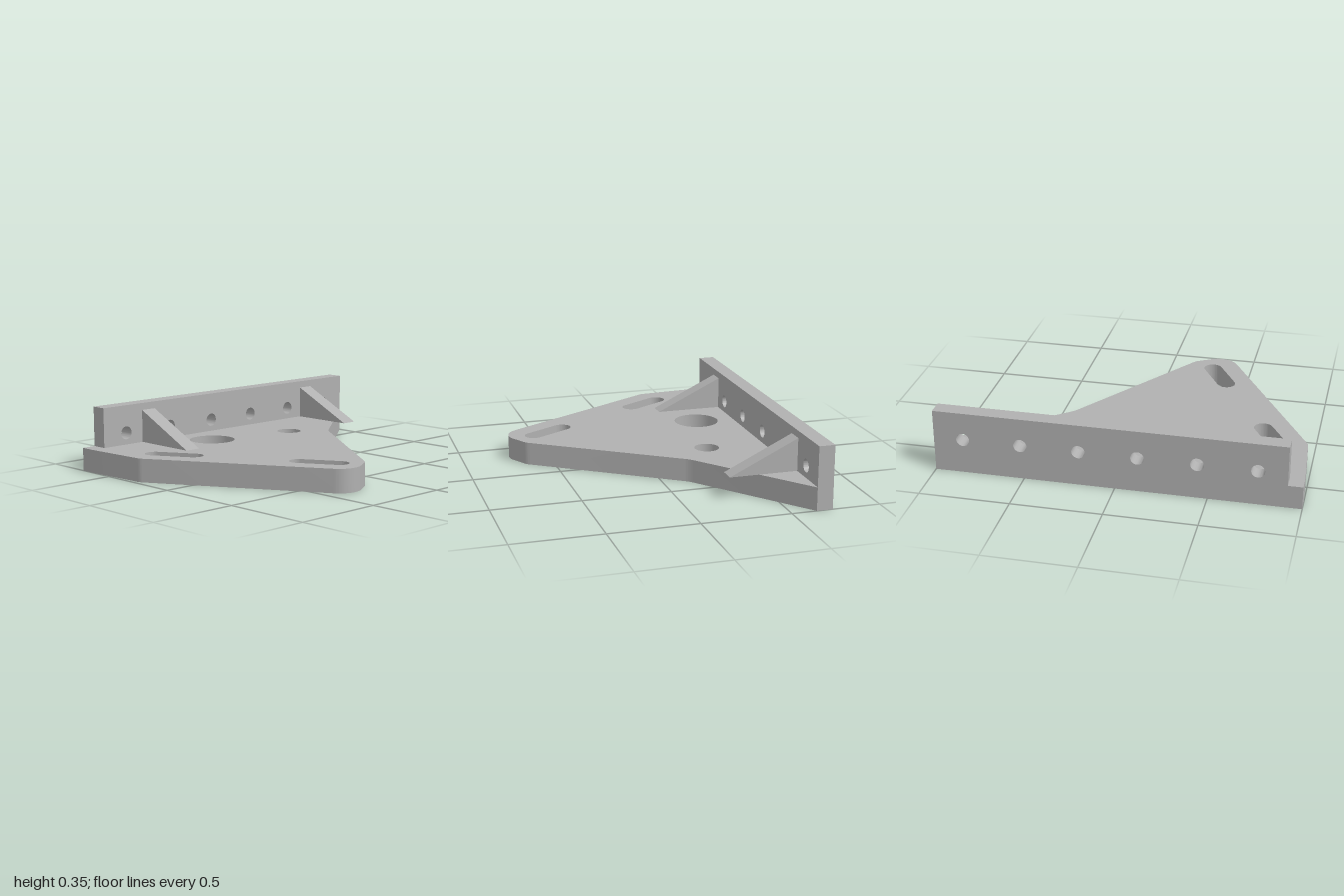
import * as THREE from 'three';
import { toCreasedNormals } from 'three/addons/utils/BufferGeometryUtils.js';

const PLATE_H = 0.13, BACK = -0.73, RAIL_FRONT = -0.64, RAIL_TOP = 0.355;

function circleHole(x, y, r) {
  const path = new THREE.Path();
  path.absarc(x, y, r, 0, Math.PI * 2, true);
  return path;
}

// Rounded slot between two end centres
function slotHole(x1, y1, x2, y2, r) {
  const a = Math.atan2(y2 - y1, x2 - x1), q = Math.PI / 2;
  const path = new THREE.Path();
  path.absarc(x1, y1, r, a + q, a + 3 * q, false);
  path.absarc(x2, y2, r, a - q, a + q, false);
  path.closePath();
  return path;
}

function extrude(shape, depth) {
  return new THREE.ExtrudeGeometry(shape, { depth, bevelEnabled: false, curveSegments: 20 });
}

export function createModel() {
  const group = new THREE.Group();
  const metal = new THREE.MeshStandardMaterial({ color: 0xb0b0b0 });
  metal.name = 'grey metal';

  const add = (name, geometry) => {
    const mesh = new THREE.Mesh(toCreasedNormals(geometry, 0.5), metal);
    mesh.name = name;
    group.add(mesh);
  };

  // Base plate, drawn with shape y = -z
  const plate = new THREE.Shape();
  plate.moveTo(-1, -BACK);
  plate.lineTo(-1, -RAIL_FRONT);
  plate.lineTo(-0.975, 0.275);
  plate.quadraticCurveTo(-0.973, 0.26, -0.965, 0.246);
  plate.absarc(-0.335, -0.61, 0.118, Math.PI * 7 / 6, Math.PI * 5 / 3, false);
  plate.lineTo(-0.205, -0.672);
  plate.quadraticCurveTo(-0.182, -0.66, -0.168, -0.637);
  plate.lineTo(0.355, 0.12);
  plate.quadraticCurveTo(0.37, 0.143, 0.395, 0.163);
  plate.lineTo(1, -RAIL_FRONT);
  plate.lineTo(1, -BACK);
  plate.closePath();
  plate.holes.push(
    circleHole(-0.315, 0.415, 0.13),
    circleHole(0.2, 0.305, 0.07),
    slotHole(-0.825, 0.315, -0.71, 0.12, 0.053),
    slotHole(-0.416, -0.394, -0.305, -0.585, 0.053)
  );
  add('basePlate', extrude(plate, PLATE_H).rotateX(-Math.PI / 2));

  // Upright rail with a row of six bolt holes
  const rail = new THREE.Shape();
  rail.moveTo(-0.92, PLATE_H);
  rail.lineTo(1, PLATE_H);
  rail.lineTo(1, RAIL_TOP);
  rail.lineTo(-0.92, RAIL_TOP);
  rail.closePath();
  for (let i = 0; i < 6; i++) rail.holes.push(circleHole(-0.763 + i * 0.32, 0.197, 0.037));
  add('backRail', extrude(rail, RAIL_FRONT - BACK).translate(0, 0, BACK));

  // Triangular ribs bracing the rail; shape x = -z
  const rib = new THREE.Shape();
  rib.moveTo(0.255, PLATE_H);
  rib.lineTo(-RAIL_FRONT, PLATE_H);
  rib.lineTo(-RAIL_FRONT, 0.315);
  rib.closePath();
  for (const [name, x] of [['rightRib', -0.647], ['leftRib', 0.63]]) {
    add(name, extrude(rib, 0.092).rotateY(Math.PI / 2).translate(x, 0, 0));
  }
  return group;
}
